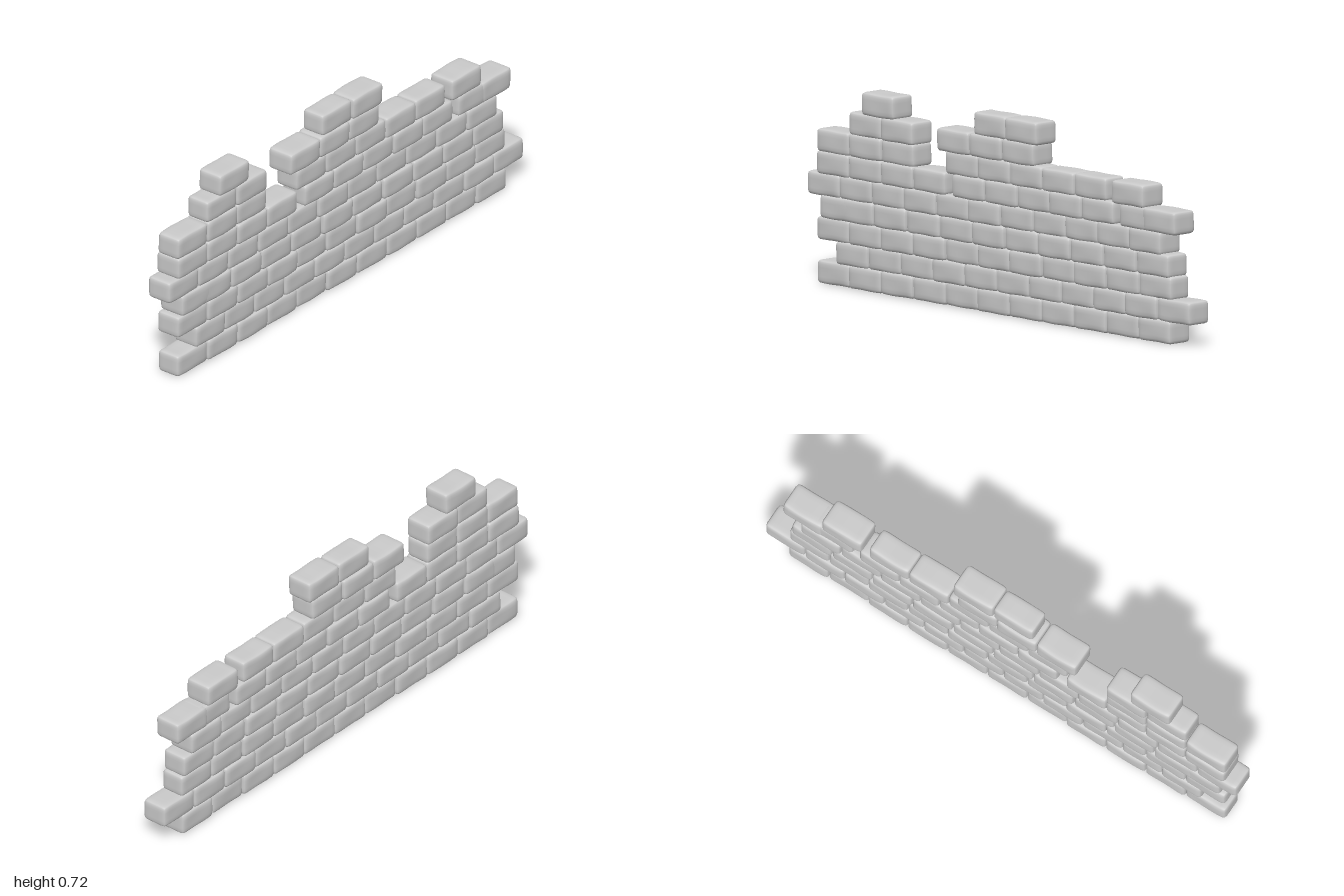
import * as THREE from 'three';
import { mergeVertices } from 'three/addons/utils/BufferGeometryUtils.js';

const PITCH = 0.168, COURSE = 0.079, HEIGHT = 0.084, LENGTH = 0.168;

// Each course, bottom to top: runs of [left edge, brick count, optional pitch]
const COURSES = [
  [[-0.95, 11]],
  [[-0.85, 11]],
  [[-0.95, 11]],
  [[-0.93, 1], [-0.82, 10, 0.171]],
  [[-1.0, 11]],
  [[-0.95, 4], [-0.24, 5], [0.63, 1], [0.756, 1]],
  [[-0.95, 3], [-0.28, 5], [0.59, 1]],
  [[-0.784, 2], [-0.32, 3]],
  [[-0.716, 1], [-0.134, 2]],
];

function seeded(seed) {
  return () => {
    seed = (seed * 16807) % 2147483647;
    return seed / 2147483647;
  };
}

// Rounded block with a slightly worn, pillowed surface
function brickGeometry(length, height, depth, phase) {
  const half = new THREE.Vector3(length / 2, height / 2, depth / 2);
  const r = 0.014;
  const inner = half.clone().subScalar(r);
  let geo = new THREE.BoxGeometry(2, 2, 2, 12, 8, 8);
  geo.deleteAttribute('uv');
  geo.deleteAttribute('normal');
  geo = mergeVertices(geo);
  const pos = geo.attributes.position;
  const p = new THREE.Vector3(), core = new THREE.Vector3();
  // crowd the grid lines towards the edges, where the rounding is
  const crowd = (u) => Math.sign(u) * (1 - (1 - Math.abs(u)) ** 1.7);
  for (let i = 0; i < pos.count; i++) {
    p.fromBufferAttribute(pos, i);
    p.set(crowd(p.x), crowd(p.y), crowd(p.z)).multiply(half);
    core.copy(p).clamp(inner.clone().negate(), inner);
    p.sub(core).setLength(r).add(core);
    const nx = p.x / half.x, ny = p.y / half.y;
    p.z *= 1 - 0.05 * nx ** 4 - 0.03 * ny ** 4;
    p.z += 0.0012 * Math.sin(nx * 3 + phase) * Math.cos(ny * 2 + phase);
    p.y += 0.0008 * Math.sin(nx * 4 + phase * 2);
    pos.setXYZ(i, p.x, p.y, p.z);
  }
  geo.computeVertexNormals();
  return geo;
}

export function createModel() {
  const wall = new THREE.Group();
  wall.name = 'ruinedBrickWall';
  const material = new THREE.MeshStandardMaterial({ color: 0xcccccc });
  const random = seeded(4711);

  // A few worn brick variants, from shallow to deep
  const variants = [];
  for (let i = 0; i < 10; i++) {
    variants.push(brickGeometry(LENGTH, HEIGHT, 0.098 + 0.0016 * i, i * 2.3));
  }

  COURSES.forEach((runs, row) => {
    const course = new THREE.Group();
    course.name = `course${row + 1}`;
    course.position.y = 0.001 + HEIGHT / 2 + row * COURSE;
    for (const [left, count, pitch = PITCH] of runs) {
      for (let k = 0; k < count; k++) {
        const brick = new THREE.Mesh(variants[Math.floor(random() * variants.length)], material);
        brick.name = 'brick';
        brick.position.set(left + LENGTH / 2 + k * pitch, 0, (random() - 0.5) * 0.003);
        course.add(brick);
      }
    }
    wall.add(course);
  });
  return wall;
}
